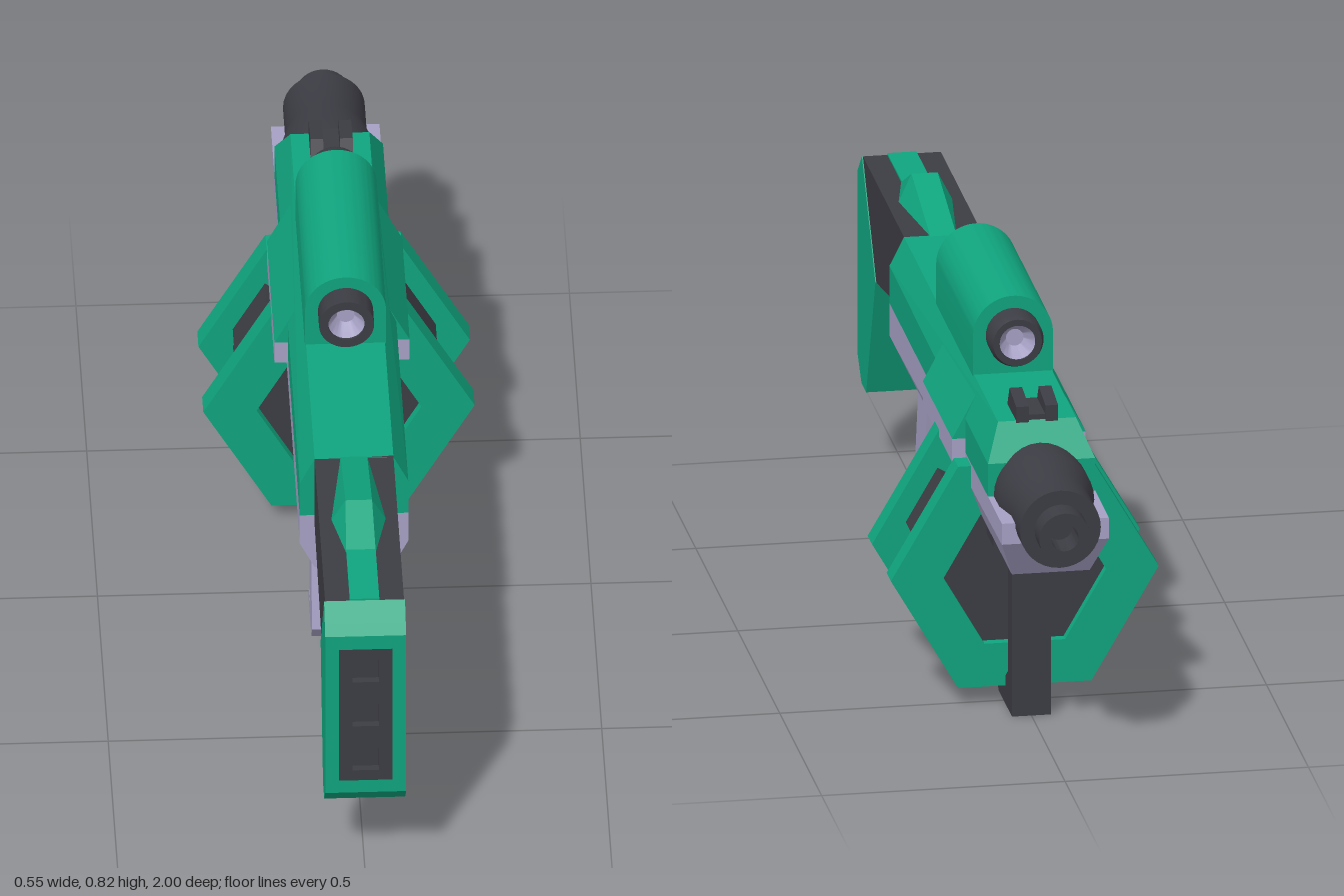
import * as THREE from 'three';
import { toCreasedNormals } from 'three/addons/utils/BufferGeometryUtils.js';
import { ConvexGeometry } from 'three/addons/geometries/ConvexGeometry.js';

const green = new THREE.MeshStandardMaterial({ color: 0x10a57e });
const dark = new THREE.MeshStandardMaterial({ color: 0x3c3c44 });
const pale = new THREE.MeshStandardMaterial({ color: 0xa6a1c4 });

export function createModel() {
  const root = new THREE.Group();

  const add = (name, geometry, material) => {
    const mesh = new THREE.Mesh(geometry, material);
    mesh.name = name;
    root.add(mesh);
    return mesh;
  };
  const shapeOf = (pts) => new THREE.Shape(pts.map(([x, y]) => new THREE.Vector2(x, y)));
  const rect = (w, y0, y1) => [[-w, y0], [w, y0], [w, y1], [-w, y1]];

  // Side profile in (z, y), extruded across x to a half width
  const side = (name, pts, half, material) => {
    const g = new THREE.ExtrudeGeometry(shapeOf(pts.map(([z, y]) => [-z, y])), { depth: half * 2, bevelEnabled: false });
    g.translate(0, 0, -half).rotateY(Math.PI / 2);
    return add(name, g, material);
  };
  // Front profile in (x, y), extruded from z0 to z1
  const front = (name, shape, z0, z1, material) => {
    const g = new THREE.ExtrudeGeometry(shape, { depth: z1 - z0, bevelEnabled: false, curveSegments: 20 });
    g.translate(0, 0, z0);
    return add(name, toCreasedNormals(g, 0.5), material);
  };
  // Convex solid mirrored in x from (half width, y, z) corners
  const hull = (name, pts, material) =>
    add(name, new ConvexGeometry(pts.flatMap(([x, y, z]) => [new THREE.Vector3(x, y, z), new THREE.Vector3(-x, y, z)])), material);
  // Turned part along z from (radius, z) points
  const turned = (name, pts, y, material) => {
    const g = new THREE.LatheGeometry(pts.map(([r, z]) => new THREE.Vector2(r, z)), 32);
    g.rotateX(Math.PI / 2).translate(0, y, 0);
    return add(name, toCreasedNormals(g, 0.5), material);
  };
  const box = (name, x, y, z, w, h, d, material) =>
    add(name, new THREE.BoxGeometry(w, h, d).translate(x, y, z), material);

  // Receiver halves
  hull('upperReceiver', [
    [0.08, 0.66, 0.455], [0.11, 0.6, 0.455], [0.11, 0.52, 0.455],
    [0.08, 0.66, -0.665], [0.11, 0.59, -0.72], [0.11, 0.52, -0.72],
  ], green);
  hull('lowerReceiver', [
    [0.11, 0.52, 0.455], [0.11, 0.45, 0.455], [0.08, 0.39, 0.455],
    [0.11, 0.52, -0.885], [0.11, 0.475, -0.885], [0.08, 0.39, -0.83],
  ], pale);

  // Side housing over the drum
  const housing = (z) => [[0.08, 0.658, z], [0.137, 0.55, z], [0.08, 0.55, z]];
  hull('sideHousing', [...housing(-0.1), ...housing(-0.45)], green);
  box('sideRail', 0, 0.525, -0.275, 0.274, 0.05, 0.35, pale);

  // Stock
  side('stockNeck', [[0.945, 0.66], [0.45, 0.66], [0.45, 0.5], [0.785, 0.445]], 0.08, dark);
  side('buttBlock', [[0.98, 0.628], [0.945, 0.66], [0.785, 0.445], [0.895, 0.17], [0.95, 0.17], [0.98, 0.2]], 0.082, green);
  const rim = shapeOf(rect(0.082, 0.22, 0.61));
  rim.holes.push(shapeOf(rect(0.054, 0.25, 0.577)));
  front('buttRim', rim, 0.98, 1, green);
  hull('buttTopChamfer', [[0.082, 0.628, 0.98], [0.082, 0.61, 0.98], [0.082, 0.61, 1]], green);
  hull('buttBottomChamfer', [[0.082, 0.2, 0.98], [0.082, 0.22, 0.98], [0.082, 0.22, 1]], green);
  box('buttPadBack', 0, 0.413, 0.98, 0.108, 0.327, 0.008, dark);
  const pad = shapeOf(rect(0.054, 0.25, 0.577));
  for (const y of [0.303, 0.413, 0.523]) pad.holes.push(shapeOf(rect(0.027, y - 0.028, y + 0.028)));
  front('buttPad', pad, 0.982, 1, dark);

  // Cheek rest and its strip
  hull('cheekRest', [
    [0.027, 0.66, 0.45], [0.055, 0.66, 0.665], [0.027, 0.715, 0.675], [0.03, 0.66, 0.78],
  ], green);
  box('cheekStrip', 0, 0.66, 0.86, 0.06, 0.008, 0.17, green);

  // Hook under the stock
  side('stockHook', [
    [0.57, 0.51], [0.57, 0.31], [0.62, 0.28], [0.86, 0.28], [0.84, 0.33],
    [0.64, 0.33], [0.62, 0.345], [0.62, 0.5],
  ], 0.025, pale);

  // Grip, trigger and guard
  side('grip', [
    [0.285, 0.4], [0.34, 0.15], [0.31, 0.112], [0.185, 0.112], [0.185, 0.138], [0.235, 0.145], [0.178, 0.4],
  ], 0.08, pale);
  side('triggerGuard', [
    [0.19, 0.112], [0.01, 0.112], [-0.03, 0.4], [0.0, 0.4], [0.035, 0.137], [0.19, 0.137],
  ], 0.035, dark);
  side('trigger', [[0.155, 0.4], [0.09, 0.335], [0.08, 0.335], [0.09, 0.4]], 0.02, dark);

  // Drum magazine: two hexagonal rings around a ribbed hexagonal core
  const hexagon = (r, h, topX) => [[r, 0], [topX, h], [-topX, h], [-r, 0], [-topX, -h], [topX, -h]]
    .map(([x, y]) => [x, y + 0.277]);
  for (const z of [-0.295, -0.52]) {
    const ring = shapeOf(hexagon(0.275, 0.238, 0.137));
    ring.holes.push(shapeOf(hexagon(0.167, 0.146, 0.083)));
    front('drumRing', ring, z, z + 0.052, green);
  }
  front('drumCore', shapeOf(hexagon(0.205, 0.178, 0.103)), -0.5, -0.265, dark);
  for (let i = 0; i < 6; i++) {
    const a = Math.PI / 6 + i * Math.PI / 3;
    const rib = add('drumRib', new THREE.BoxGeometry(0.05, 0.13, 0.17), dark);
    rib.position.set(Math.cos(a) * 0.175, 0.277 + Math.sin(a) * 0.175, -0.38);
    rib.rotation.z = a;
  }

  // Magazine well behind, bracket in front
  box('magazineWell', 0, 0.4, -0.34, 0.15, 0.08, 0.48, dark);
  side('rearBlock', [
    [-0.17, 0.39], [-0.135, 0.18], [-0.118, 0.165], [-0.118, 0.112], [-0.27, 0.112], [-0.27, 0.39],
  ], 0.045, dark);
  side('frontBracket', [
    [-0.6, 0.4], [-0.6, 0], [-0.44, 0], [-0.38, 0.06], [-0.52, 0.06], [-0.55, 0.08], [-0.55, 0.33], [-0.52, 0.34], [-0.52, 0.4],
  ], 0.04, dark);

  // Barrel with an open muzzle
  turned('barrel', [
    [0, -0.93], [0.028, -0.93], [0.028, -1], [0.053, -1], [0.053, -0.945], [0.083, -0.945],
    [0.083, -0.84], [0.098, -0.78], [0.098, -0.68],
  ], 0.523, dark);

  // Scope
  const arch = new THREE.Shape();
  arch.moveTo(-0.082, 0.655);
  arch.lineTo(0.082, 0.655);
  arch.lineTo(0.082, 0.743);
  arch.absarc(0, 0.743, 0.082, 0, Math.PI, false);
  arch.closePath();
  front('scopeHousing', arch, -0.38, 0.06, green);
  turned('scopeTube', [
    [0.037, -0.4], [0.037, -0.435], [0.05, -0.435], [0.056, -0.42], [0.056, 0.11], [0.037, 0.11], [0.037, 0.08],
  ], 0.743, dark);
  turned('scopeLens', [
    [0, -0.4], [0.018, -0.4], [0.037, -0.43], [0.037, 0.105], [0.018, 0.075], [0, 0.075],
  ], 0.743, pale);

  // Notched front sight
  box('sightBase', 0, 0.663, -0.615, 0.08, 0.016, 0.1, dark);
  for (const s of [-1, 1]) {
    const wall = side('sightWall', [[-0.562, 0.66], [-0.587, 0.703], [-0.668, 0.69], [-0.668, 0.655]], 0.013, dark);
    wall.position.x = s * 0.03;
  }

  return root;
}
